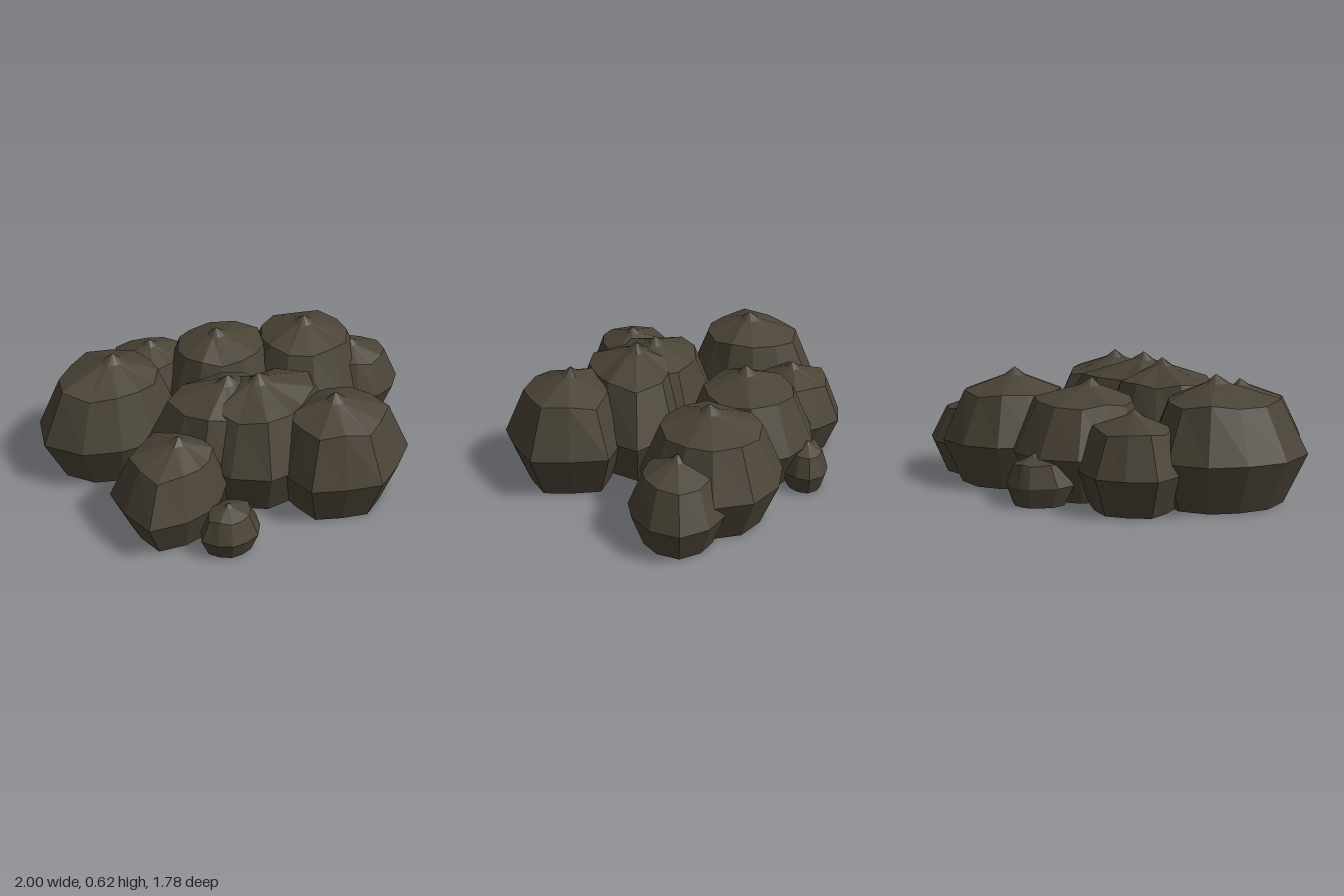
import * as THREE from 'three';

const SIDES = 12;

// Faceted boulder: six reaches set every other outline corner; the corners
// between them take the average, drawn in by the pinch for a craggier edge
function rockGeometry({ height, reach, turn = 0, pinch = 1 }, seed) {
  // Share of the outline and share of the height, from base centre to peak
  const profile = [[0, 0], [0.75, 0], [1, 0.39], [0.7, 0.8], [0.15, 0.93], [0, 1]];
  const positions = [];
  const point = (ring, k) => {
    const i = k % SIDES;
    const before = reach[Math.floor(i / 2)];
    const after = reach[Math.ceil(i / 2) % reach.length];
    const radius = i % 2 ? ((before + after) / 2) * pinch : before;
    const angle = ((i + turn) / SIDES) * Math.PI * 2;
    const [spread, lift] = profile[ring];
    const shoulder = ring === 3 ? 0.02 * Math.sin(i * 2.3 + seed) : 0;
    return [
      radius * spread * Math.cos(angle),
      height * (lift + shoulder),
      radius * spread * Math.sin(angle),
    ];
  };
  for (let ring = 0; ring < profile.length - 1; ring++) {
    for (let k = 0; k < SIDES; k++) {
      const a = point(ring, k), b = point(ring, k + 1);
      const c = point(ring + 1, k + 1), d = point(ring + 1, k);
      if (ring < profile.length - 2) positions.push(...a, ...d, ...c);
      if (ring > 0) positions.push(...a, ...c, ...b);
    }
  }
  const geometry = new THREE.BufferGeometry();
  geometry.setAttribute('position', new THREE.Float32BufferAttribute(positions, 3));
  geometry.computeVertexNormals();
  return geometry;
}

export function createModel() {
  const group = new THREE.Group();
  group.name = 'rockCluster';
  const stone = new THREE.MeshStandardMaterial({ color: 0x4a4336 });
  stone.name = 'darkStone';

  // Places one boulder with its peak over (x, z); reaches run from +x towards +z
  const addRock = (name, x, z, shape) => {
    const rock = new THREE.Mesh(rockGeometry(shape, group.children.length), stone);
    rock.name = name;
    rock.position.set(x, 0, z);
    group.add(rock);
  };

  // Back row
  addRock('backRightBoulder', -0.56, -0.43, { height: 0.61, reach: [0.32, 0.32, 0.34, 0.44, 0.36, 0.38] });
  addRock('backBoulder', -0.2, -0.63, { height: 0.47, reach: [0.28, 0.25, 0.25, 0.26, 0.29, 0.28], pinch: 0.93 });
  addRock('backCentreBoulder', 0.05, -0.36, { height: 0.57, reach: [0.41, 0.33, 0.29, 0.29, 0.31, 0.38] });

  // Left side
  addRock('leftBoulder', 0.49, -0.15, { height: 0.58, reach: [0.35, 0.34, 0.35, 0.33, 0.36, 0.38], turn: 1 });
  addRock('leftOuterRock', 0.7, 0.01, { height: 0.43, reach: [0.3, 0.25, 0.22, 0.24, 0.24, 0.25] });

  // Middle and front
  addRock('innerBoulder', -0.24, 0.1, { height: 0.61, reach: [0.34, 0.29, 0.37, 0.43, 0.31, 0.33], turn: 1, pinch: 0.95 });
  addRock('centreBoulder', -0.13, 0.2, { height: 0.625, reach: [0.48, 0.33, 0.38, 0.38, 0.29, 0.27] });
  addRock('frontBoulder', 0.08, 0.53, { height: 0.59, reach: [0.39, 0.35, 0.35, 0.34, 0.27, 0.38], turn: 1, pinch: 0.9 });
  addRock('rightRock', -0.64, 0.225, { height: 0.49, reach: [0.23, 0.24, 0.36, 0.34, 0.29, 0.24], turn: 1, pinch: 0.93 });

  // Small outlying stones
  addRock('frontSmallStone', -0.585, 0.525, { height: 0.245, reach: [0.17, 0.15, 0.14, 0.16, 0.12, 0.12], pinch: 0.95 });
  addRock('backSmallStone', 0.27, -0.66, { height: 0.25, reach: [0.14, 0.13, 0.13, 0.19, 0.11, 0.11] });
  return group;
}
